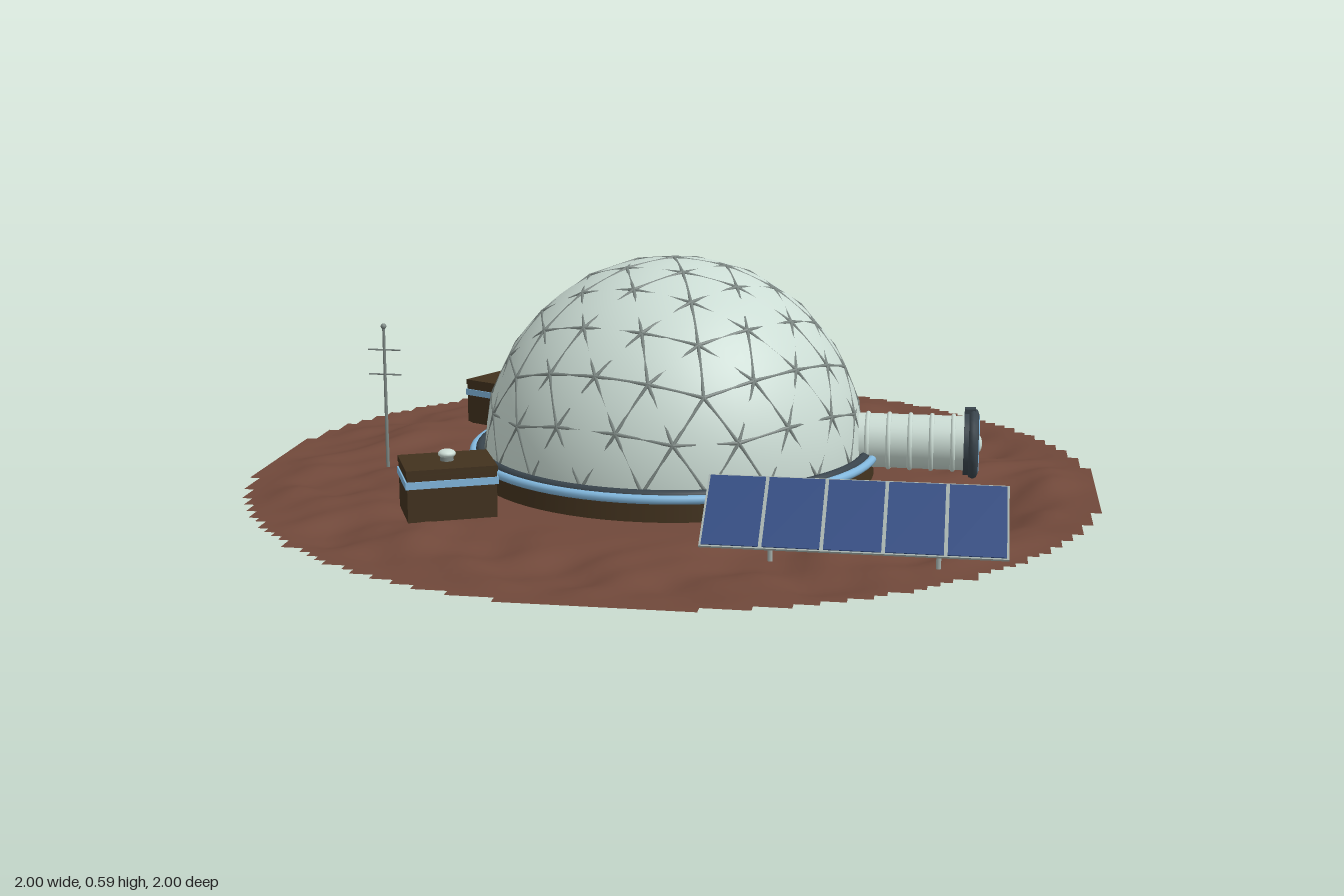
import * as THREE from 'three';
import { mergeGeometries } from 'three/addons/utils/BufferGeometryUtils.js';

const mat = (name, color, extra = {}) =>
  Object.assign(new THREE.MeshStandardMaterial({ color, ...extra }), { name });

const soil = mat('red soil', 0x70483a, { side: THREE.DoubleSide });
const shell = mat('pale shell', 0xcbdcd4);
const strutGrey = mat('strut grey', 0x7d8884);
const hull = mat('dark brown hull', 0x42321e);
const trim = mat('slate trim', 0x39444c);
const blue = mat('light blue stripe', 0x82b8de);
const cell = mat('solar blue', 0x304a80);
const frame = mat('frame grey', 0xa4b0ac);

const UP = new THREE.Vector3(0, 1, 0);
const DOME_Y = 0.147, DOME_R = 0.454;

function add(parent, name, geometry, material, x = 0, y = 0, z = 0) {
  const mesh = new THREE.Mesh(geometry, material);
  mesh.name = name;
  mesh.position.set(x, y, z);
  parent.add(mesh);
  return mesh;
}

function group(parent, name, x = 0, y = 0, z = 0) {
  const g = new THREE.Group();
  g.name = name;
  g.position.set(x, y, z);
  parent.add(g);
  return g;
}

// Thin rod between two points
function rod(a, b, radius, sides = 6) {
  const dir = b.clone().sub(a);
  const geo = new THREE.CylinderGeometry(radius, radius, dir.length(), sides);
  geo.applyQuaternion(new THREE.Quaternion().setFromUnitVectors(UP, dir.normalize()));
  const mid = a.clone().add(b).multiplyScalar(0.5);
  return geo.translate(mid.x, mid.y, mid.z);
}

// Rolling ground: level under the dome and at the rim, creased between
function groundHeight(x, z) {
  const r = Math.hypot(x, z), s = THREE.MathUtils.smoothstep;
  const rough = s(r, 0.54, 0.74) * (1 - s(r, 0.88, 1));
  const bump = (px, pz, w, h) => h * Math.exp(-((x - px) ** 2 + (z - pz) ** 2) / (w * w));
  const u = x + 0.06 * Math.sin(9 * z + 1), v = z + 0.06 * Math.sin(8 * x);
  const waves = 0.009 * Math.sin(7 * u + 3 * v + 1) + 0.009 * Math.sin(9 * v - 5 * u)
    + 0.006 * Math.sin(21 * u + 8 * v) + 0.006 * Math.sin(19 * v - 13 * u + 2)
    + 0.003 * Math.sin(43 * u - 17 * v) + 0.003 * Math.sin(37 * v + 26 * u);
  return 0.088 - 0.014 * s(r, 0.58, 1)
    + rough * (waves - 0.004 + bump(0.72, 0.15, 0.13, -0.058) + bump(-0.25, 0.76, 0.2, -0.025)
      + bump(0.1, -0.68, 0.18, 0.022));
}

// Disc cut from square cells, giving a stepped rim
function groundGeometry() {
  const n = 80, pos = [], idx = [];
  for (let j = 0; j <= n; j++) for (let i = 0; i <= n; i++) {
    const x = i / 40 - 1, z = j / 40 - 1;
    pos.push(x, groundHeight(x, z), z);
  }
  for (let j = 0; j < n; j++) for (let i = 0; i < n; i++) {
    if (Math.hypot((i + 0.5) / 40 - 1, (j + 0.5) / 40 - 1) > 1.008) continue;
    const a = j * (n + 1) + i, b = a + 1, c = a + n + 1, d = c + 1;
    idx.push(a, c, b, b, c, d);
  }
  const geo = new THREE.BufferGeometry();
  geo.setAttribute('position', new THREE.Float32BufferAttribute(pos, 3));
  geo.setIndex(idx);
  geo.computeVertexNormals();
  return geo;
}

// Struts along the edges of a twice-subdivided icosahedron, cut at the base
function strutGeometry() {
  const verts = [0, 1, 0], faces = [];
  for (const [y, turn] of [[1, 0], [-1, 0.5]]) for (let i = 0; i < 5; i++) {
    const a = (i + turn) * Math.PI * 0.4;
    verts.push(2 * Math.cos(a) / Math.sqrt(5), y / Math.sqrt(5), 2 * Math.sin(a) / Math.sqrt(5));
  }
  for (let i = 0; i < 5; i++) {
    const j = (i + 1) % 5;
    faces.push(0, 1 + i, 1 + j, 1 + i, 6 + i, 1 + j, 6 + i, 6 + j, 1 + j);
  }
  const once = new THREE.PolyhedronGeometry(verts, faces, 1, 1).attributes.position;
  const order = Array.from({ length: once.count }, (_, i) => i);
  const p = new THREE.PolyhedronGeometry(Array.from(once.array), order, DOME_R, 1).attributes.position;
  const seen = new Set(), rods = [];
  const key = v => v.toArray().map(c => Math.round(c * 1000) + 0).join();
  for (let i = 0; i < p.count; i += 3) for (let k = 0; k < 3; k++) {
    const a = new THREE.Vector3().fromBufferAttribute(p, i + k);
    const b = new THREE.Vector3().fromBufferAttribute(p, i + (k + 1) % 3);
    const id = [key(a), key(b)].sort().join('|');
    if (seen.has(id) || Math.max(a.y, b.y) < 0.01) continue;
    seen.add(id);
    const [low, high] = a.y < b.y ? [a, b] : [b, a];
    if (low.y < 0) low.lerp(high, -low.y / (high.y - low.y));
    rods.push(rod(low, high, 0.0042));
  }
  return mergeGeometries(rods);
}

function addDome(root) {
  const dome = group(root, 'dome', 0, DOME_Y, 0);
  add(dome, 'domeShell', new THREE.SphereGeometry(DOME_R - 0.001, 64, 24, 0, Math.PI * 2, 0, Math.PI / 2), shell);
  add(dome, 'domeStruts', strutGeometry(), strutGrey);
  const ring = (name, r, tube, m, y) =>
    add(dome, name, new THREE.TorusGeometry(r, tube, 10, 72).rotateX(Math.PI / 2), m, 0, y, 0);
  add(dome, 'foundation', new THREE.CylinderGeometry(0.475, 0.48, 0.055, 72), hull, 0, -0.0295, 0);
  ring('foundationTrim', 0.465, 0.012, trim, 0);
  ring('foundationStripe', 0.482, 0.01, blue, -0.005);
}

// Ribbed entrance tunnel along +x
function addAirlock(root) {
  const lock = group(root, 'airlock', 0, 0.175, 0);
  const tube = (name, r, x0, x1, m) =>
    add(lock, name, new THREE.CylinderGeometry(r, r, x1 - x0, 32).rotateZ(-Math.PI / 2), m, (x0 + x1) / 2);
  const hoop = (name, r, t, x, m) =>
    add(lock, name, new THREE.TorusGeometry(r, t, 8, 32).rotateY(Math.PI / 2), m, x);
  tube('tunnel', 0.064, 0.4, 0.7, shell);
  for (let i = 0; i < 5; i++) hoop('tunnelRib', 0.063, 0.006, 0.465 + i * 0.05, shell);
  tube('hatchFlange', 0.075, 0.69, 0.715, trim);
  hoop('hatchRim', 0.071, 0.012, 0.712, trim);
  hoop('hatchStripe', 0.065, 0.004, 0.722, blue);
  tube('hatchDoor', 0.06, 0.7, 0.722, hull);
  const knob = add(lock, 'hatchWheel', new THREE.SphereGeometry(0.022, 16, 12), shell, 0.722);
  knob.scale.x = 0.5;
  add(lock, 'hatchLamp', new THREE.BoxGeometry(0.025, 0.014, 0.025), trim, 0.703, 0.078, 0);
}

// Equipment crate with a stripe and a domed cap
function addCrate(root, x, z, turn) {
  const crate = group(root, 'equipmentCrate', x, 0, z);
  crate.rotation.y = turn;
  add(crate, 'crateBody', new THREE.BoxGeometry(0.196, 0.105, 0.146), hull, 0, 0.1425, 0);
  add(crate, 'crateLid', new THREE.BoxGeometry(0.2, 0.013, 0.15), hull, 0, 0.2, 0);
  add(crate, 'crateStripe', new THREE.BoxGeometry(0.203, 0.016, 0.153), blue, 0, 0.173, 0);
  add(crate, 'crateVent', new THREE.CylinderGeometry(0.015, 0.015, 0.018, 16), strutGrey, 0, 0.214, 0);
  const cap = add(crate, 'crateCap', new THREE.SphereGeometry(0.02, 16, 10), shell, 0, 0.222, 0);
  cap.scale.y = 0.5;
}

// Tilted row of five solar panels on posts
function addSolarArray(root) {
  const array = group(root, 'solarArray', 0.475, 0.184, 0.687);
  const table = group(array, 'solarTable');
  table.rotation.x = 0.6;
  add(table, 'solarFrame', new THREE.BoxGeometry(0.614, 0.005, 0.19), frame);
  for (let i = -2; i <= 2; i++)
    add(table, 'solarPanel', new THREE.BoxGeometry(0.115, 0.005, 0.183), cell, i * 0.1225, 0.002, 0);
  for (const x of [-0.17, 0.17])
    add(array, 'solarPost', new THREE.CylinderGeometry(0.005, 0.005, 0.1, 8), frame, x, -0.052, 0);
}

// Radio mast with crossbars
function addMast(root) {
  const mast = group(root, 'radioMast', -0.69, 0, 0.09);
  add(mast, 'mastPole', new THREE.CylinderGeometry(0.0035, 0.0045, 0.345, 8), strutGrey, 0, 0.2575, 0);
  for (const y of [0.315, 0.375])
    add(mast, 'mastCrossbar', new THREE.CylinderGeometry(0.002, 0.002, 0.08, 6).rotateZ(Math.PI / 2), strutGrey, 0, y, 0);
  add(mast, 'mastTip', new THREE.SphereGeometry(0.007, 12, 8), strutGrey, 0, 0.432, 0);
}

export function createModel() {
  const root = new THREE.Group();
  root.name = 'domeHabitat';
  add(root, 'ground', groundGeometry(), soil);
  addDome(root);
  addAirlock(root);
  addCrate(root, -0.495, -0.4, -0.47);
  addCrate(root, -0.435, 0.46, 0.42);
  addSolarArray(root);
  addMast(root);
  return root;
}
